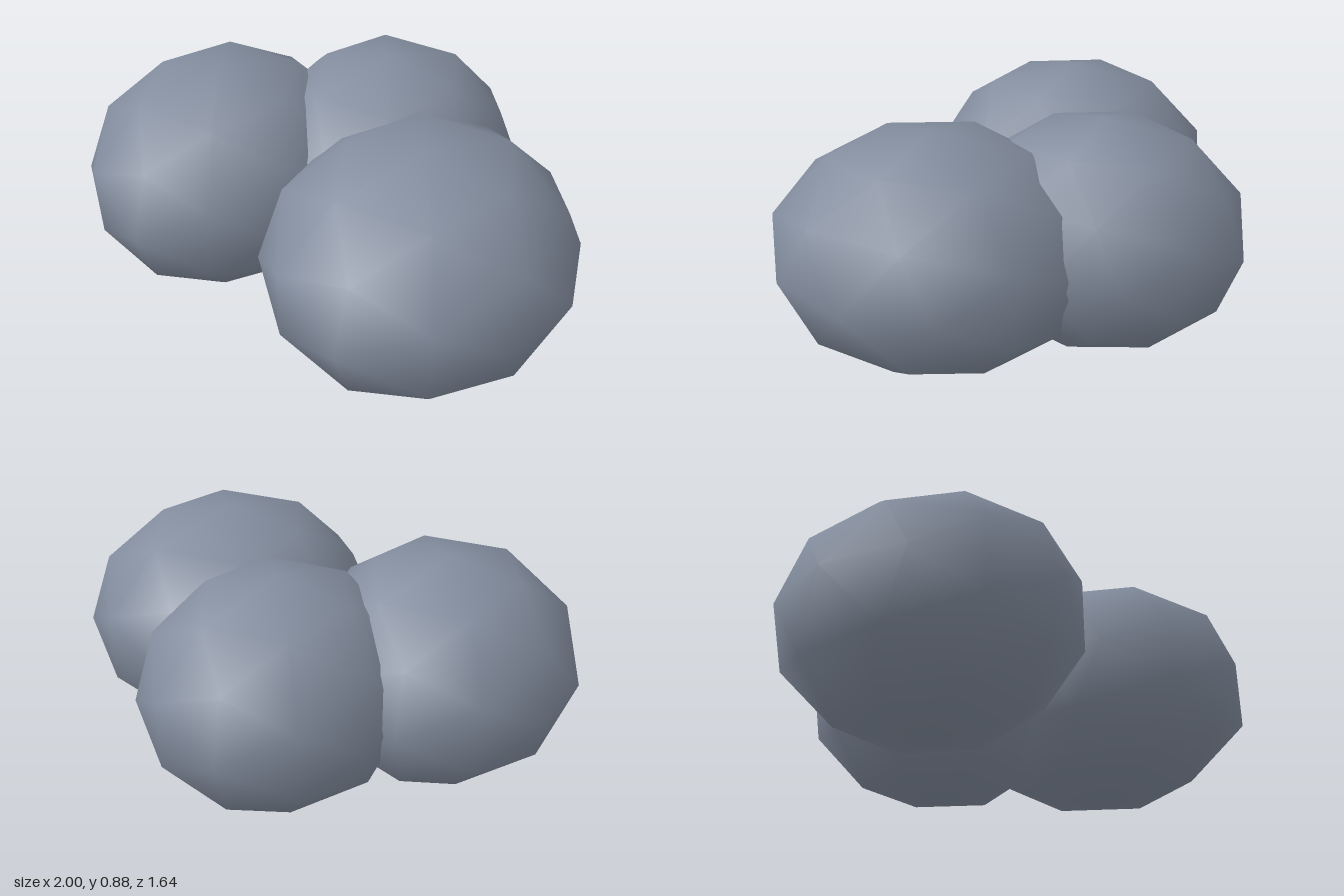
import * as THREE from 'three';

export function createModel() {
  const group = new THREE.Group();
  group.name = 'boulderCluster';
  const material = new THREE.MeshStandardMaterial({ color: 0x828c9d });

  // Smooth-shaded, once-subdivided icosahedron shared by all lobes
  const lobe = new THREE.IcosahedronGeometry(1, 1);

  // Three squashed, overlapping lobes: name, x, z, x radius, z radius
  const lobes = [
    ['rightLobe', -0.475, 0.11, 0.525, 0.573],
    ['leftLobe', 0.435, 0.21, 0.565, 0.608],
    ['backLobe', 0.035, -0.265, 0.508, 0.553],
  ];
  for (const [name, x, z, rx, rz] of lobes) {
    const mesh = new THREE.Mesh(lobe, material);
    mesh.name = name;
    mesh.position.set(x, 0.438, z);
    mesh.scale.set(rx, 0.438, rz);
    group.add(mesh);
  }
  return group;
}
